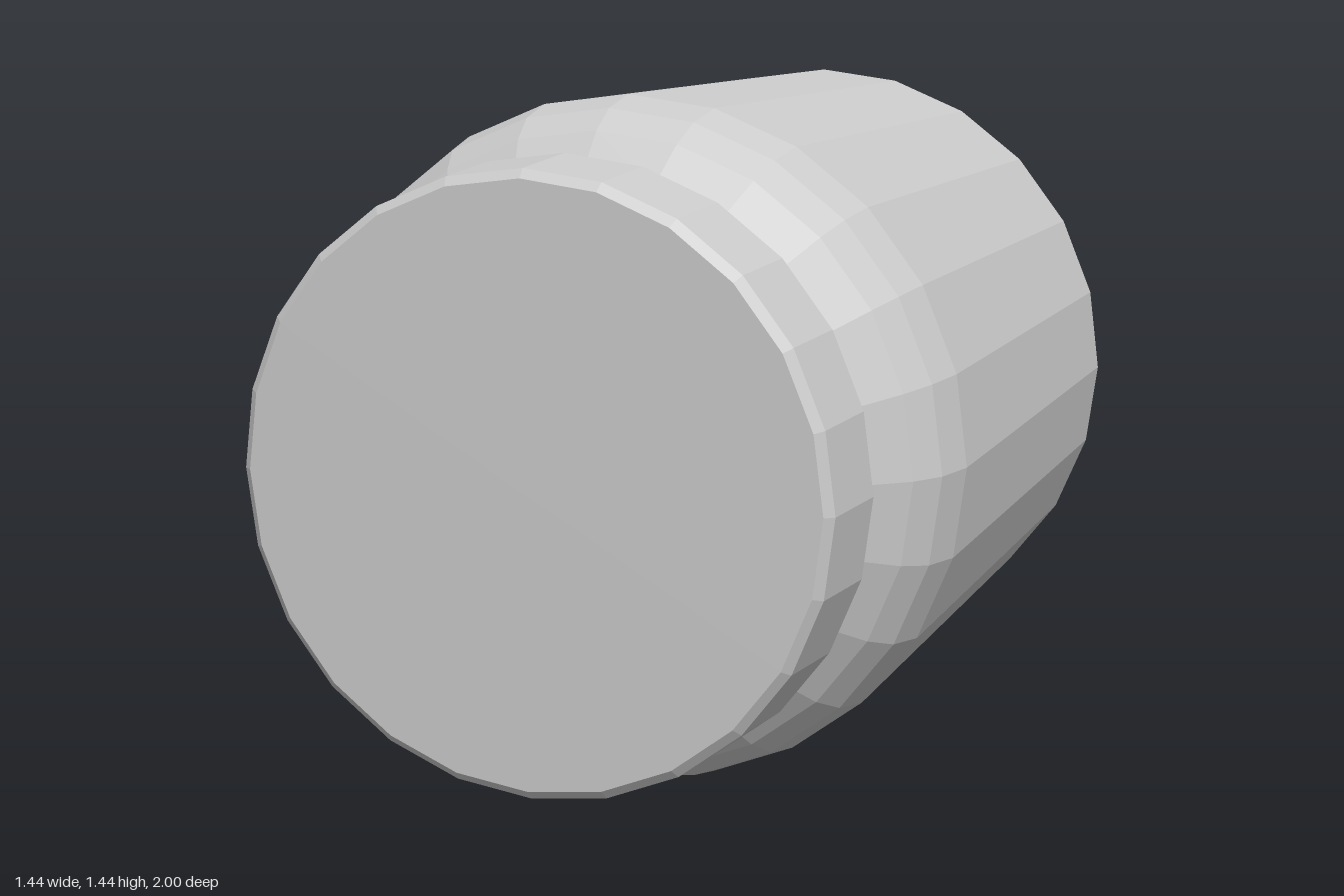
import * as THREE from 'three';

const SIDES = 24;

// Lathe around z from [radius, z] pairs running back to front
function turned(name, profile, material) {
  const points = profile.map(([r, z]) => new THREE.Vector2(r, z));
  const geometry = new THREE.LatheGeometry(points, SIDES);
  geometry.rotateX(Math.PI / 2);
  // The axis rises very slightly towards the lid
  const pos = geometry.attributes.position;
  for (let i = 0; i < pos.count; i++) {
    pos.setY(i, pos.getY(i) + 0.725 + 0.008 * pos.getZ(i));
  }
  geometry.computeVertexNormals();
  const mesh = new THREE.Mesh(geometry, material);
  mesh.name = name;
  return mesh;
}

export function createModel() {
  const group = new THREE.Group();
  group.name = 'jar';
  const material = new THREE.MeshStandardMaterial({
    color: 0xcccccc, flatShading: true, side: THREE.DoubleSide,
  });

  // Jar lying on its side: base, chamfer, wall, rounded shoulder, neck
  group.add(turned('jarBody', [
    [0, -1], [0.6, -1], [0.68, -0.945], [0.716, -0.82],
    [0.718, 0.47], [0.695, 0.57], [0.655, 0.635], [0.57, 0.71],
  ], material));

  // Lid: flared collar, slightly tapering rim, flat front
  group.add(turned('lid', [
    [0.57, 0.71], [0.622, 0.79], [0.608, 0.98], [0.59, 0.995], [0, 1],
  ], material));

  return group;
}
